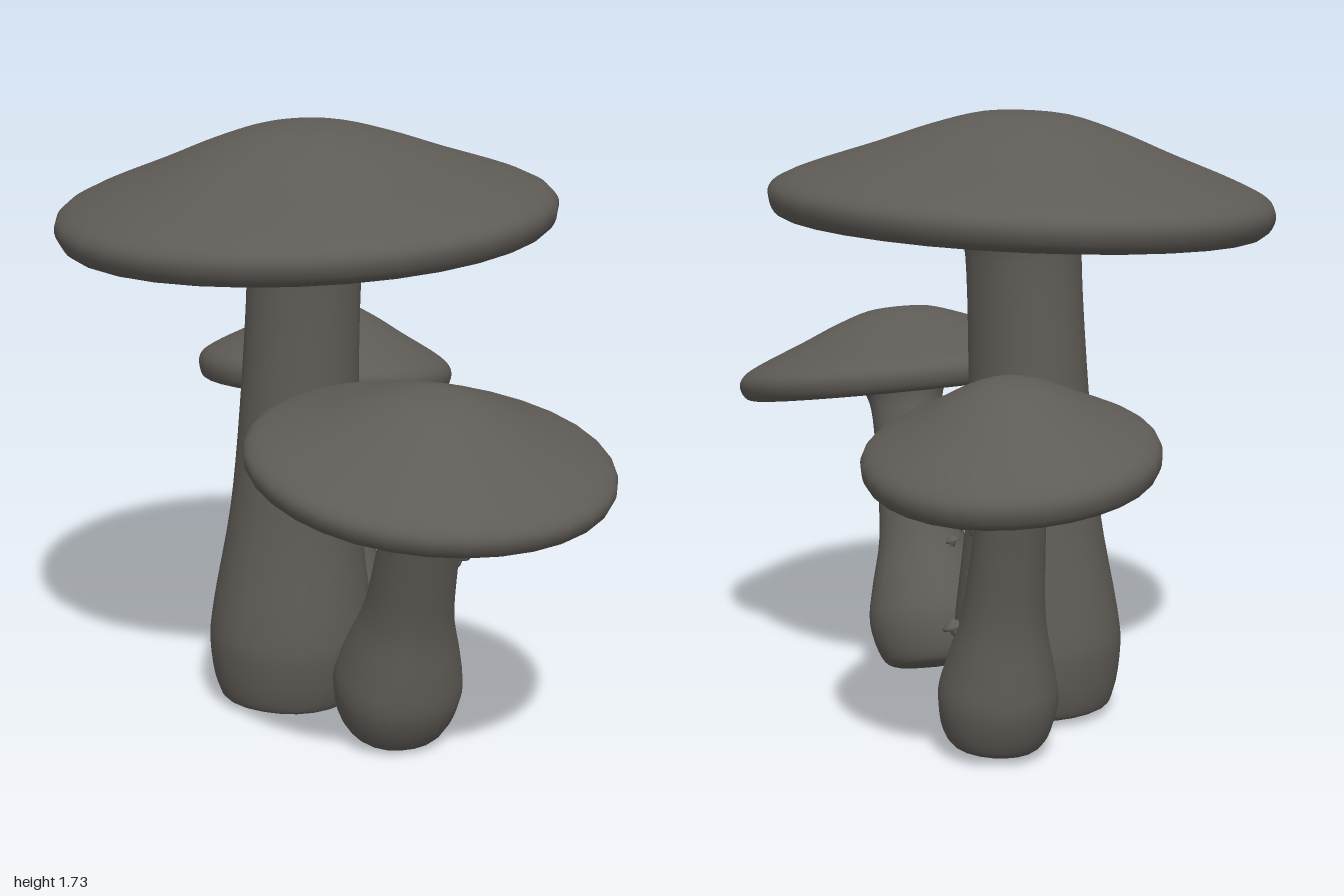
import * as THREE from 'three';
import { mergeVertices } from 'three/addons/utils/BufferGeometryUtils.js';

const flesh = new THREE.MeshStandardMaterial({ color: 0x5f5b56 });
flesh.name = 'dark mushroom grey';

const V = (x, y, z) => new THREE.Vector3(x, y, z);

// Smooth lathe through a few [radius, height] points, with a gentle wobble around the axis
function turned(points, segments, steps, wobble = 0, phase = 0) {
  const curve = new THREE.SplineCurve(points.map(([r, y]) => new THREE.Vector2(r, y)));
  const profile = curve.getPoints(steps);
  profile.forEach((p) => { p.x = Math.max(p.x, 0); });
  profile[0].x = 0;
  profile[steps].x = 0;
  let geo = new THREE.LatheGeometry(profile, segments);
  geo.deleteAttribute('uv');
  geo.deleteAttribute('normal');
  geo = mergeVertices(geo, 1e-5);
  const pos = geo.attributes.position;
  for (let i = 0; i < pos.count; i++) {
    const x = pos.getX(i), z = pos.getZ(i);
    const a = Math.atan2(z, x);
    const k = 1 + wobble * (Math.sin(3 * a + phase) + 0.6 * Math.sin(5 * a + 2 * phase));
    pos.setXYZ(i, x * k, pos.getY(i), z * k);
  }
  geo.computeVertexNormals();
  return geo;
}

// Cap: radius as a share of the rim, height as a share of the crown
const capProfile = [
  [0, -0.07], [0.3, -0.07], [0.6, -0.11], [0.86, -0.21], [0.96, -0.19], [1, 0],
  [0.97, 0.17], [0.85, 0.33], [0.6, 0.58], [0.38, 0.81], [0.18, 0.97], [0, 1],
];

function makeCap(name, { at, rx, rz, crown, tiltX, tiltZ, phase }) {
  const mesh = new THREE.Mesh(turned(capProfile, 32, 44, 0.005, phase), flesh);
  mesh.name = name;
  mesh.scale.set(rx, crown, rz);
  mesh.position.copy(at);
  mesh.rotation.set(tiltX, 0, tiltZ);
  return mesh;
}

// Stem: turned along a leaning axis, radii given as [share of length, radius]
function makeStem(name, { from, to, radii, phase }) {
  const axis = to.clone().sub(from);
  const length = axis.length();
  const points = [[0, 0], ...radii.map(([t, r]) => [r, t * length]), [0, length]];
  const mesh = new THREE.Mesh(turned(points, 24, 40, 0.015, phase), flesh);
  mesh.name = name;
  mesh.position.copy(from);
  mesh.quaternion.setFromUnitVectors(V(0, 1, 0), axis.normalize());
  return mesh;
}

// Tiny mushroom growing sideways out of a stem
function makeSprout(name, root, tip, size) {
  const group = new THREE.Group();
  group.name = name;
  const path = new THREE.QuadraticBezierCurve3(root, V(tip.x, root.y, tip.z), tip);
  const stalk = new THREE.Mesh(new THREE.TubeGeometry(path, 6, size * 0.5, 8), flesh);
  stalk.name = 'sproutStalk';
  const cap = makeCap('sproutCap', {
    at: tip, rx: size, rz: size, crown: size * 0.7, tiltX: 0.15, tiltZ: -0.3, phase: 1,
  });
  group.add(stalk, cap);
  return group;
}

const mushrooms = [
  {
    name: 'tallMushroom',
    stem: {
      from: V(-0.07, 0.01, -0.085), to: V(-0.02, 1.47, -0.05), phase: 0.4,
      radii: [[0.005, 0.17], [0.03, 0.215], [0.12, 0.24], [0.2, 0.234], [0.4, 0.192],
        [0.62, 0.172], [0.87, 0.163], [0.95, 0.175], [0.995, 0.215]],
    },
    cap: { at: V(-0.02, 1.475, -0.055), rx: 0.71, rz: 0.715, crown: 0.258, tiltX: 0.0, tiltZ: 0.045, phase: 0.5 },
  },
  {
    name: 'frontMushroom',
    stem: {
      from: V(0.18, 0.035, 0.255), to: V(0.23, 0.9, 0.53), phase: 1.7,
      radii: [[0.01, 0.11], [0.05, 0.16], [0.17, 0.185], [0.29, 0.165], [0.45, 0.128],
        [0.65, 0.114], [0.85, 0.108], [0.93, 0.12], [0.99, 0.15]],
    },
    cap: { at: V(0.225, 0.9, 0.53), rx: 0.505, rz: 0.475, crown: 0.2, tiltX: 0.16, tiltZ: -0.065, phase: 2 },
  },
  {
    name: 'backMushroom',
    stem: {
      from: V(0.14, 0.04, -0.43), to: V(0.12, 0.88, -0.605), phase: 2.6,
      radii: [[0.01, 0.11], [0.05, 0.148], [0.17, 0.165], [0.29, 0.145], [0.45, 0.114],
        [0.65, 0.1], [0.85, 0.094], [0.93, 0.104], [0.99, 0.135]],
    },
    cap: { at: V(0.13, 0.873, -0.6), rx: 0.395, rz: 0.405, crown: 0.21, tiltX: -0.137, tiltZ: -0.08, phase: 3.4 },
  },
];

export function createModel() {
  const model = new THREE.Group();
  model.name = 'mushroomCluster';
  for (const { name, stem, cap } of mushrooms) {
    const group = new THREE.Group();
    group.name = name;
    group.add(makeStem('stem', stem), makeCap('cap', cap));
    model.add(group);
  }
  // Sprouts on the sides of the stems
  model.add(
    makeSprout('tallStemSprout', V(0.05, 0.55, -0.18), V(0.15, 0.6, -0.2), 0.048),
    makeSprout('frontStemSprout', V(0.26, 0.57, 0.44), V(0.32, 0.62, 0.45), 0.042),
    makeSprout('backStemSprout', V(0.19, 0.355, -0.47), V(0.26, 0.38, -0.46), 0.03),
    makeSprout('innerSprout', V(0.16, 0.4, 0.3), V(0.13, 0.43, 0.25), 0.022),
  );
  return model;
}
